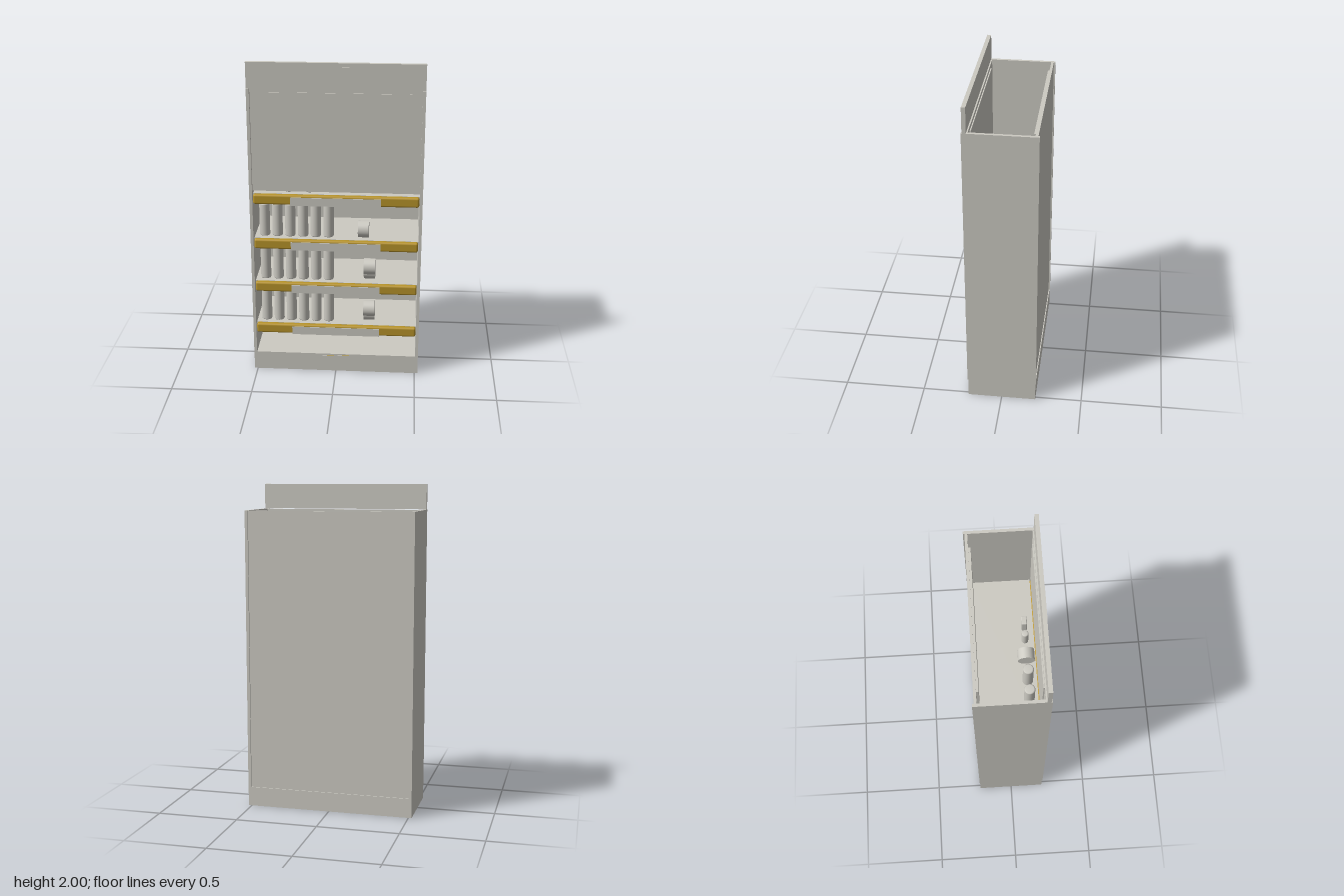
import * as THREE from 'three';
import { RoundedBoxGeometry } from 'three/addons/geometries/RoundedBoxGeometry.js';

export function createModel() {
  const root = new THREE.Group();
  root.name = 'displayStand';
  const grey = new THREE.MeshStandardMaterial({ color: 0xcccac2 });
  grey.name = 'light grey';
  const gold = new THREE.MeshStandardMaterial({ color: 0xb8942a });
  gold.name = 'gold';

  const add = (name, geometry, material, x = 0, y = 0, z = 0) => {
    const mesh = new THREE.Mesh(geometry, material);
    mesh.name = name;
    mesh.position.set(x, y, z);
    root.add(mesh);
    return mesh;
  };
  // Box given by its lower and upper limits on each axis
  const box = (name, material, x0, x1, y0, y1, z0, z1) =>
    add(name, new THREE.BoxGeometry(x1 - x0, y1 - y0, z1 - z0), material,
      (x0 + x1) / 2, (y0 + y1) / 2, (z0 + z1) / 2);

  // Upright can with softened rims, standing on y
  const can = (name, x, y, z, r, h) => {
    const b = Math.min(0.008, r / 3);
    const points = [[0, 0], [r - b, 0], [r - b * 0.3, b * 0.3], [r, b],
      [r, h - b], [r - b * 0.3, h - b * 0.3], [r - b, h], [0, h]]
      .map(([a, c]) => new THREE.Vector2(a, c));
    return add(name, new THREE.LatheGeometry(points, 24), grey, x, y, z);
  };
  // Drum lying on its side, axis along x
  const drum = (name, x, y, z, r, w) =>
    add(name, new THREE.CylinderGeometry(r, r, w, 32).rotateZ(Math.PI / 2), grey, x, y, z);

  // Cabinet
  box('base', grey, -0.52, 0.52, 0, 0.12, -0.212, 0.21);
  for (const s of [-1, 1]) {
    add(s > 0 ? 'leftSide' : 'rightSide', new THREE.BoxGeometry(0.018, 1.725, 0.43),
      grey, s * 0.511, 0.9825, 0);
  }
  box('backPanel', grey, -0.502, 0.502, 0.12, 1.843, -0.206, -0.19);
  box('backPoster', grey, -0.43, 0.43, 1.43, 1.82, -0.19, -0.176);
  box('frontPanel', grey, -0.502, 0.502, 1.21, 1.843, 0.179, 0.194);
  box('frontPoster', grey, -0.44, 0.44, 1.43, 1.82, 0.194, 0.198);
  box('posterBacking', grey, -0.43, 0.43, 1.43, 1.82, 0.172, 0.179);

  // Header and badges
  box('header', grey, -0.52, 0.52, 1.847, 2, 0.186, 0.21);
  box('headerBadge', grey, -0.095, 0.095, 1.9, 1.975, 0.21, 0.213);
  box('baseBadgeEdge', gold, -0.09, 0.09, 0.05, 0.11, 0.209, 0.213);
  box('baseBadgeFace', grey, -0.09, 0.09, 0.05, 0.11, 0.213, 0.215);

  // Shelves, each with a rounded gold rail and a label strip
  const tops = [0.317, 0.606, 0.895, 1.187];
  tops.forEach((y, i) => {
    box('shelf', grey, -0.502, 0.502, y - 0.022, y - 0.001, -0.19, 0.175);
    add('shelfRail', new RoundedBoxGeometry(1, 0.062, 0.036, 3, 0.012), gold, 0, y - 0.031, 0.188);
    box('labelStrip', grey, -0.275, 0.272, y - 0.064, y - 0.012, 0.203, 0.21);

    if (i === 3) return;
    // Row of tall cans
    for (let k = 0; k < 6; k++) can('tallCan', -0.443 + k * 0.0787, y, 0.12, 0.032, 0.213);
    // Drums beside the cans
    if (i === 2) {
      drum('drum', 0.165, y + 0.052, 0.117, 0.052, 0.066);
    } else {
      drum('lowerDrum', 0.205, y + 0.05, 0.092, 0.05, 0.07);
      drum('upperDrum', 0.205, y + 0.092, 0.122, 0.05, 0.07);
    }
  });

  // Goods on the top shelf
  const top = tops[3];
  can('wideCan', -0.287, top, 0.118, 0.032, 0.213);
  can('wideCan', -0.163, top, 0.118, 0.032, 0.213);
  drum('topDrum', -0.018, top + 0.051, 0.117, 0.051, 0.07);
  can('smallCan', 0.097, top, 0.118, 0.021, 0.12);
  add('smallPack', new RoundedBoxGeometry(0.054, 0.1, 0.034, 2, 0.006), grey, 0.19, top + 0.05, 0.118);

  return root;
}
